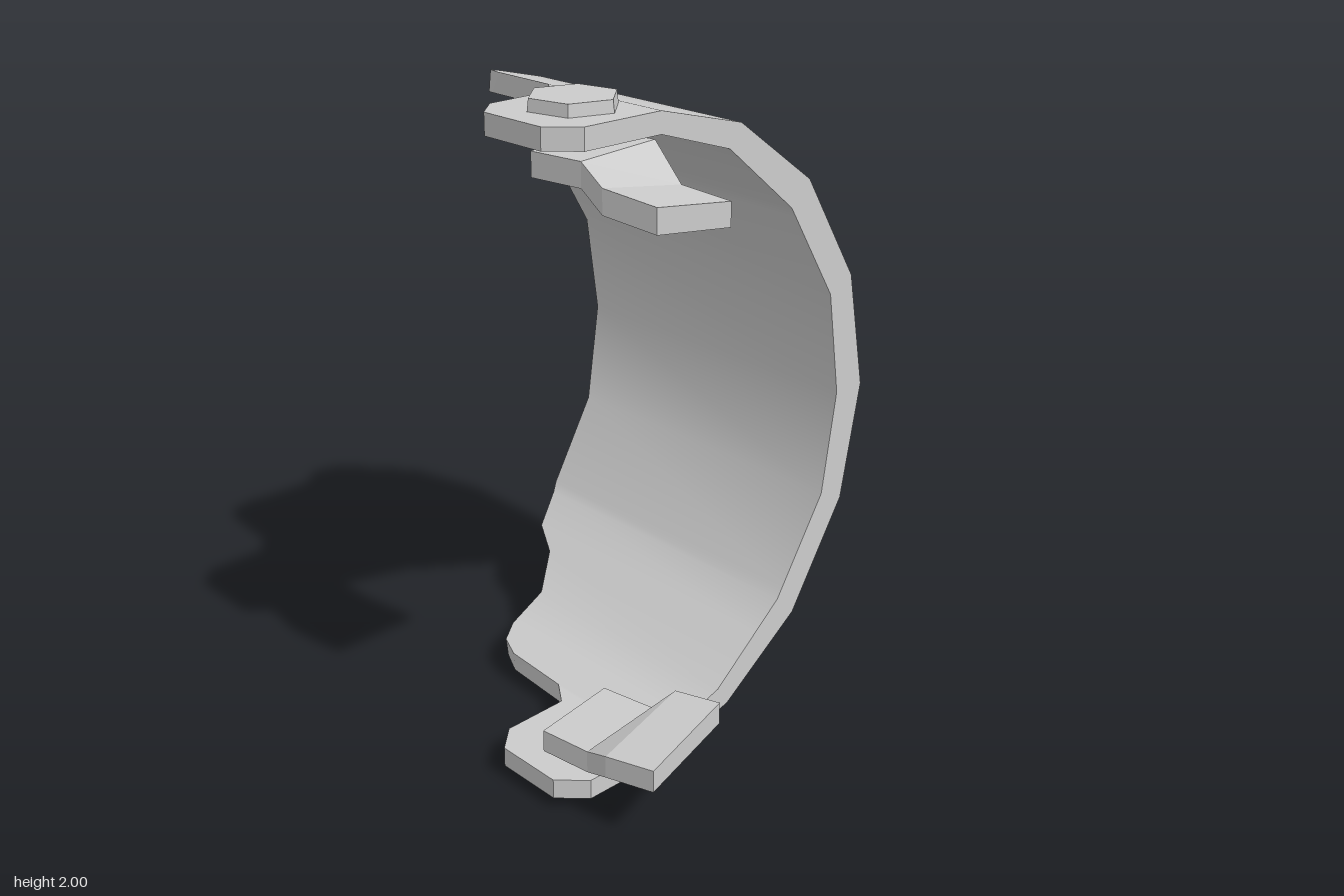
import * as THREE from 'three';
import { toCreasedNormals } from 'three/addons/utils/BufferGeometryUtils.js';

const material = new THREE.MeshStandardMaterial({ color: 0xcccccc });

// Closed solid through four-cornered sections (corners clockwise seen against the travel direction)
function loft(name, sections, crease) {
  const index = [];
  const quad = (a, b, c, d) => index.push(a, b, c, a, c, d);
  for (let k = 0; k < sections.length - 1; k++) {
    for (let i = 0; i < 4; i++) {
      const j = (i + 1) % 4, p = k * 4, q = p + 4;
      quad(p + i, q + i, q + j, p + j);
    }
  }
  const e = (sections.length - 1) * 4;
  quad(0, 1, 2, 3);
  quad(e + 3, e + 2, e + 1, e);
  const geometry = new THREE.BufferGeometry();
  geometry.setAttribute('position', new THREE.Float32BufferAttribute(sections.flat(2), 3));
  geometry.setIndex(index);
  const mesh = new THREE.Mesh(toCreasedNormals(geometry, crease), material);
  mesh.name = name;
  return mesh;
}

// Linear lookup in rows sorted by their first column
function lookup(rows, w, column) {
  let i = 0;
  while (i < rows.length - 2 && w > rows[i + 1][0]) i++;
  const a = rows[i], b = rows[i + 1];
  return THREE.MathUtils.lerp(a[column], b[column], (w - a[0]) / (b[0] - a[0]));
}

// Half of the arch: outer depth, outer height, inner depth, inner height (heights from mid level)
const PROFILE = [
  [-0.57, 0, -0.46, 0], [-0.5, 0.36, -0.41, 0.32], [-0.297, 0.685, -0.226, 0.615],
  [-0.013, 0.89, 0.028, 0.825], [0.28, 0.966, 0.28, 0.905], [0.616, 0.966, 0.616, 0.905],
];
// Plan outline: depth, side position
const LEFT_EDGE = [
  [-0.57, -0.642], [-0.318, -0.625], [-0.19, -0.571], [-0.132, -0.469], [-0.018, -0.394],
  [0.155, -0.364], [0.226, -0.326], [0.26, -0.252], [0.275, -0.02], [0.33, 0.057],
  [0.542, 0.064], [0.616, 0.132],
];
const RIGHT_EDGE = [[-0.57, 0.424], [0.54, 0.424], [0.616, 0.35]];

function band() {
  const depths = [...new Set([...PROFILE, ...LEFT_EDGE, ...RIGHT_EDGE].map((r) => r[0]))].sort((a, b) => a - b);
  const section = (w, side) => {
    const l = lookup(LEFT_EDGE, w, 1), r = lookup(RIGHT_EDGE, w, 1);
    const yo = 1 + side * lookup(PROFILE, w, 1);
    const wi = lookup(PROFILE, w, 2), yi = 1 + side * lookup(PROFILE, w, 3);
    return [[l, yo, w], [r, yo, w], [r, yi, wi], [l, yi, wi]];
  };
  const lower = depths.slice(1).reverse().map((w) => section(w, -1));
  const upper = depths.map((w) => section(w, 1));
  const mesh = loft('curvedBand', [...lower, ...upper], 0.6);
  mesh.rotation.y = -0.172;
  return mesh;
}

// Bent clip plate: front x, z, bottom y, then back x, z, bottom y
const CLIP = [
  [0.15, 0.6, 0.12, 0.15, 0.315, 0.12],
  [0.315, 0.607, 0.12, 0.325, 0.315, 0.12],
  [0.41, 0.645, 0.163, 0.42, 0.33, 0.22],
  [0.573, 0.645, 0.183, 0.573, 0.33, 0.238],
];

function clip(name, upper) {
  const t = 0.068;
  return loft(name, CLIP.map(([fx, fz, fy, bx, bz, by]) => {
    const [f0, f1, b0, b1] = upper
      ? [2 - fy - t, 2 - fy, 2 - by - t, 2 - by]
      : [fy, fy + t, by, by + t];
    return [[fx, f1, fz], [bx, b1, bz], [bx, b0, bz], [fx, f0, fz]];
  }), 0.2);
}

// Hexagonal bolt head, slightly narrower at its outer face
function bolt(name, upper) {
  const geometry = new THREE.CylinderGeometry(0.123, 0.129, 0.05, 6).toNonIndexed();
  geometry.computeVertexNormals();
  const mesh = new THREE.Mesh(geometry, material);
  mesh.name = name;
  mesh.position.set(0.167, upper ? 1.975 : 0.025, 0.45);
  mesh.rotation.set(upper ? 0 : Math.PI, Math.PI / 6 + (upper ? 0.05 : -0.05), 0);
  return mesh;
}

export function createModel() {
  const group = new THREE.Group();
  group.name = 'clampBand';
  group.add(
    band(),
    clip('upperClip', true), clip('lowerClip', false),
    bolt('upperBolt', true), bolt('lowerBolt', false),
  );
  return group;
}
